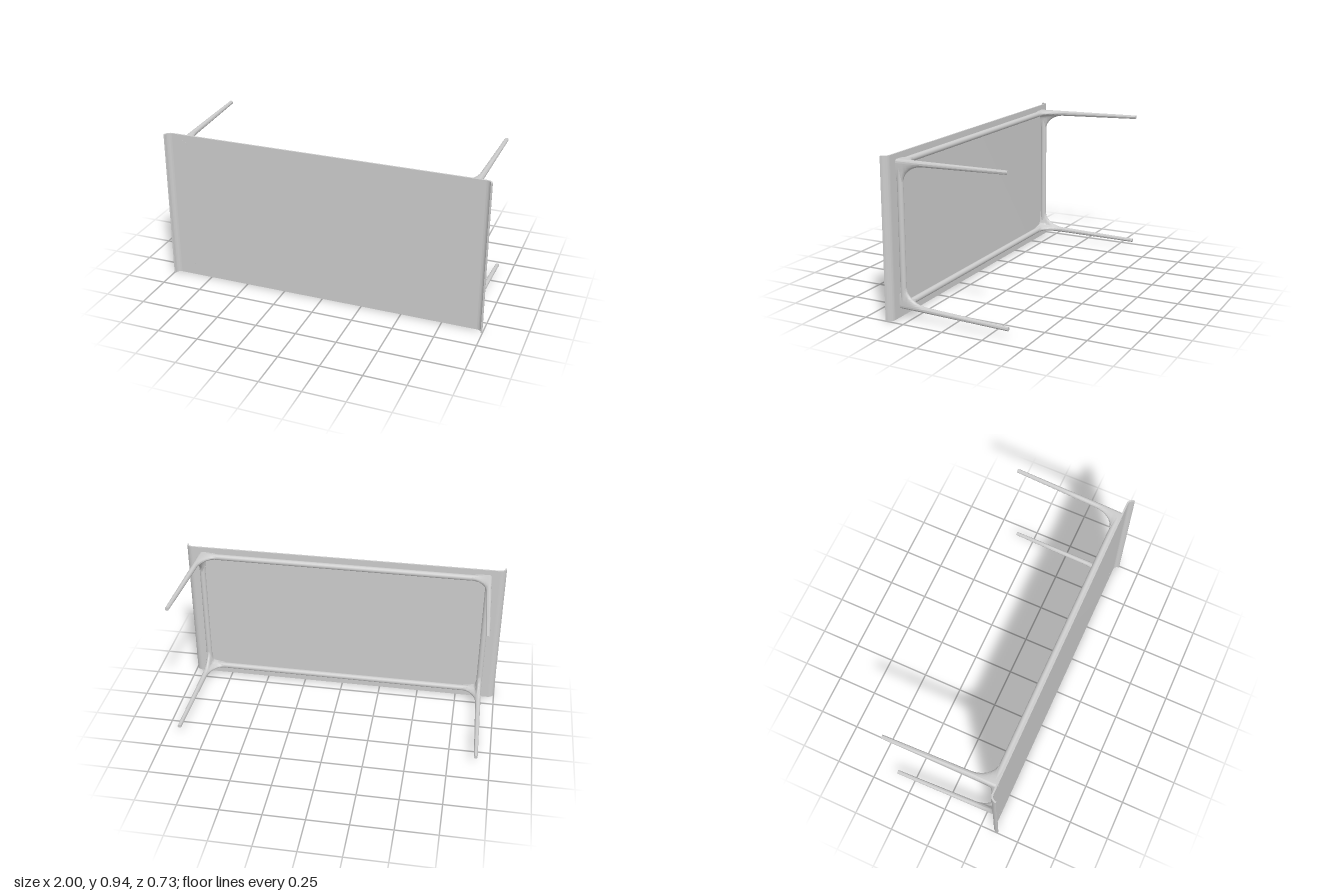
import * as THREE from 'three';
import { toCreasedNormals } from 'three/addons/utils/BufferGeometryUtils.js';

const material = new THREE.MeshStandardMaterial({ color: 0xcccccc });

const MID_Y = 0.481;                   // height of the frame's centre
const RAIL = { x: 0.897, y: 0.412, z: 0.307, r: 0.018 };
const TIP = { x: 0.915, y: 0.4275, z: -0.365, r: 0.0115 };
const BACK = 0.325, HEIGHT = 0.942;    // panel's inner face and its length along y

function addMesh(parent, name, geometry, x = 0, y = 0, z = 0) {
  const mesh = new THREE.Mesh(geometry, material);
  mesh.name = name;
  mesh.position.set(x, y, z);
  parent.add(mesh);
  return mesh;
}

// Thin panel whose two short ends curl forward in a quarter round
function panelGeometry() {
  const s = new THREE.Shape();
  const cx = 0.96, cy = -0.365, ro = 0.04, ri = 0.03, q = Math.PI / 2;
  s.moveTo(-cx, -BACK);
  s.lineTo(cx, -BACK);
  s.absarc(cx, cy, ro, q, 0, true);
  s.lineTo(cx + ri, cy);
  s.absarc(cx, cy, ri, 0, q, false);
  s.lineTo(-cx, cy + ri);
  s.absarc(-cx, cy, ri, q, Math.PI, false);
  s.lineTo(-cx - ro, cy);
  s.absarc(-cx, cy, ro, Math.PI, q, true);
  const g = new THREE.ExtrudeGeometry(s, { depth: HEIGHT, bevelEnabled: false, curveSegments: 12 });
  g.rotateX(-Math.PI / 2);
  return toCreasedNormals(g, 0.6);
}

// Tapered round leg that flares into both rails where it meets the frame
function legGeometry(sx, sy) {
  const SEG = 72, flareStart = 0.16, flareEnd = 0.29, reach = 0.1;
  const levels = [BACK];
  for (let i = 16; i >= 0; i--) {
    levels.push(flareStart + (flareEnd - flareStart) * Math.sin((i / 16) * Math.PI / 2));
  }
  levels.push(-0.1, TIP.z);

  const pos = [], idx = [];
  // Elliptical lobe stretched by f towards one rail
  const lobe = (c, s, r, f) =>
    c <= 0 ? 0 : 1 / Math.hypot(s / r, c / (r + f)) - r;

  for (const z of levels) {
    const t = (BACK - z) / (BACK - TIP.z);
    const r = THREE.MathUtils.lerp(RAIL.r, TIP.r, t);
    const cx = THREE.MathUtils.lerp(RAIL.x, TIP.x, t);
    const cy = THREE.MathUtils.lerp(RAIL.y, TIP.y, t);
    const k = THREE.MathUtils.clamp((z - flareStart) / (flareEnd - flareStart), 0, 1);
    const f = reach * (1 - Math.sqrt(1 - k * k));
    for (let j = 0; j < SEG; j++) {
      const a = (j / SEG) * Math.PI * 2, c = Math.cos(a), s = Math.sin(a);
      const web = c < 0 && s < 0 ? 0.2 * f * c * s : 0;
      const rad = r + Math.hypot(lobe(-c, s, r, f), lobe(-s, c, r, f)) + web;
      pos.push(sx * (cx + rad * c), sy * (cy + rad * s), z);
    }
  }
  const tri = (a, b, c) => (sx * sy > 0 ? idx.push(a, b, c) : idx.push(a, c, b));
  const last = levels.length - 1;
  for (let i = 0; i < last; i++) {
    for (let j = 0; j < SEG; j++) {
      const a = i * SEG + j, b = i * SEG + (j + 1) % SEG;
      tri(a, a + SEG, b);
      tri(b, a + SEG, b + SEG);
    }
  }
  // Flat end cap
  const centre = pos.length / 3;
  pos.push(sx * TIP.x, sy * TIP.y, TIP.z);
  for (let j = 0; j < SEG; j++) tri(centre, last * SEG + (j + 1) % SEG, last * SEG + j);

  const g = new THREE.BufferGeometry();
  g.setAttribute('position', new THREE.Float32BufferAttribute(pos, 3));
  g.setIndex(idx);
  g.computeVertexNormals();
  return toCreasedNormals(g, 0.9);
}

export function createModel() {
  const model = new THREE.Group();
  model.name = 'table';

  addMesh(model, 'tableTop', panelGeometry());

  const frame = new THREE.Group();
  frame.name = 'frame';
  frame.position.y = MID_Y;
  model.add(frame);

  // Two long and two short rails
  for (const s of [-1, 1]) {
    const long = new THREE.CylinderGeometry(RAIL.r, RAIL.r, 2 * RAIL.x, 32, 1, true);
    addMesh(frame, 'longRail', long.rotateZ(Math.PI / 2), 0, s * RAIL.y, RAIL.z);
    const short = new THREE.CylinderGeometry(RAIL.r, RAIL.r, 2 * RAIL.y, 32, 1, true);
    addMesh(frame, 'shortRail', short, s * RAIL.x, 0, RAIL.z);
  }

  // Legs, each with a round fixing plug let into the panel
  for (const sx of [-1, 1]) {
    for (const sy of [-1, 1]) {
      addMesh(frame, 'leg', legGeometry(sx, sy));
      const plug = new THREE.CylinderGeometry(0.022, 0.022, 0.0106, 32);
      addMesh(frame, 'fixingPlug', plug.rotateX(Math.PI / 2), sx * 0.885, sy * 0.403, 0.3303);
    }
  }
  return model;
}
